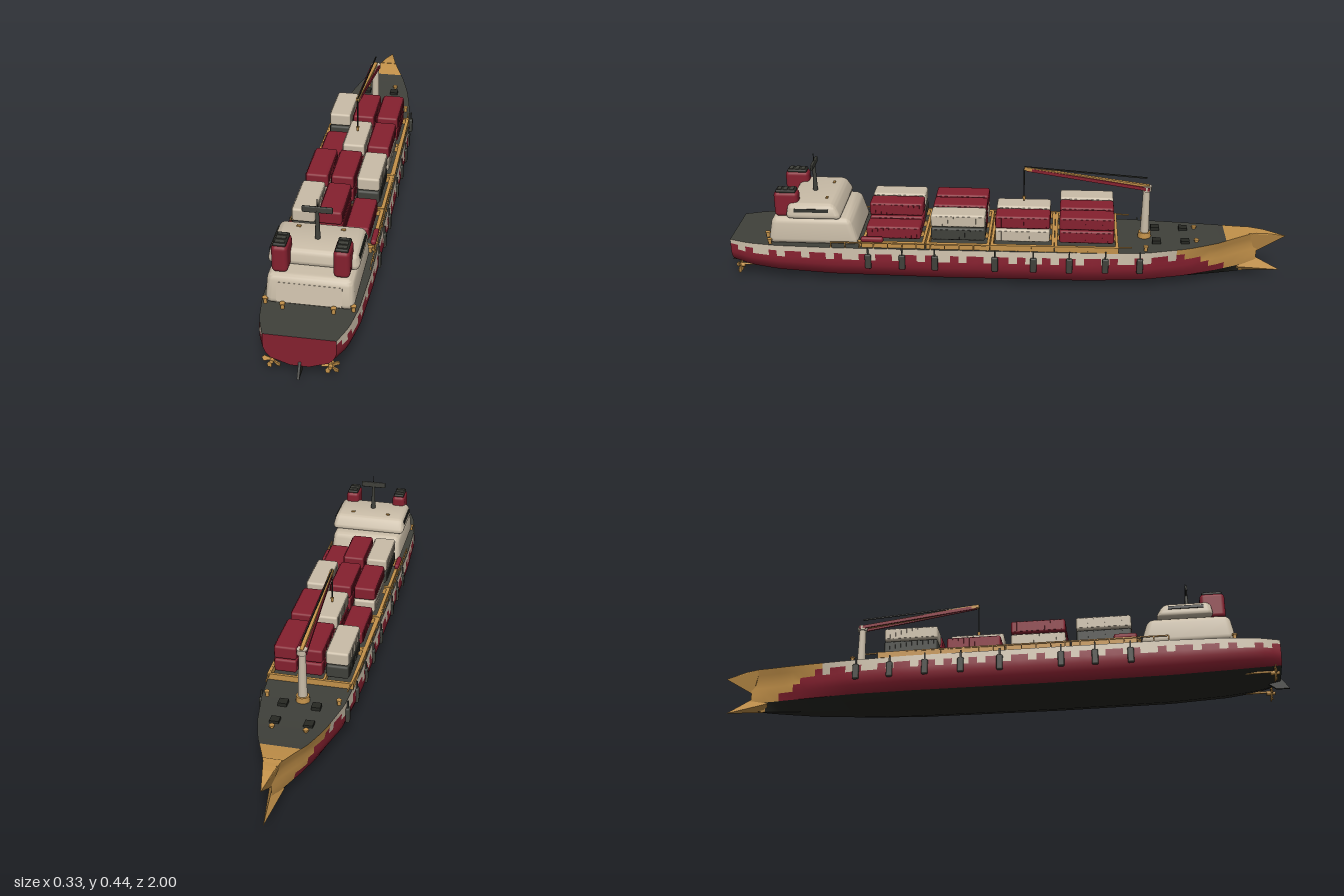
import * as THREE from 'three';
import { toCreasedNormals } from 'three/addons/utils/BufferGeometryUtils.js';
import { RoundedBoxGeometry } from 'three/addons/geometries/RoundedBoxGeometry.js';
import { ConvexGeometry } from 'three/addons/geometries/ConvexGeometry.js';

const paint = (name, color) => Object.assign(new THREE.MeshStandardMaterial({ color }), { name });
const red = paint('red', 0x85202f);
const cream = paint('cream', 0xcabda8);
const gold = paint('gold', 0xc4924a);
const dark = paint('dark grey', 0x40413b);
const black = paint('bottom black', 0x272823);

export function createModel() {
  const ship = new THREE.Group();
  ship.name = 'cargoShip';
  const V = (x, y, z) => new THREE.Vector3(x, y, z);

  function add(name, geo, mat, x = 0, y = 0, z = 0, parent = ship) {
    const m = new THREE.Mesh(geo, mat);
    m.name = name;
    m.position.set(x, y, z);
    parent.add(m);
    return m;
  }
  const box = (name, w, h, d, mat, x, y, z, parent) =>
    add(name, new THREE.BoxGeometry(w, h, d), mat, x, y, z, parent);
  const cyl = (name, r0, r1, h, mat, x, y, z, parent) =>
    add(name, new THREE.CylinderGeometry(r0, r1, h, 12), mat, x, y, z, parent);
  // Beam of given width and height between two points
  function beam(name, a, b, w, h, mat) {
    const m = box(name, w, h, a.distanceTo(b), mat, 0, 0, 0);
    m.position.copy(a).lerp(b, 0.5);
    m.lookAt(b);
    return m;
  }

  // Hull stations: z, half deck width, half side width, keel y, deck y
  const stations = [
    [0.97, 0.11, 0.11, 0.045, 0.15], [0.9, 0.135, 0.138, 0.03, 0.15],
    [0.8, 0.15, 0.153, 0.018, 0.15], [0.6, 0.157, 0.16, 0.006, 0.15],
    [0.2, 0.155, 0.16, 0, 0.15], [-0.3, 0.15, 0.155, 0, 0.15],
    [-0.5, 0.138, 0.138, 0.004, 0.15], [-0.65, 0.11, 0.1, 0.01, 0.157],
    [-0.75, 0.08, 0.064, 0.018, 0.166], [-0.82, 0.05, 0.034, 0.024, 0.176],
    [-0.87, 0.03, 0.014, 0.03, 0.183], [-0.9, 0.019, 0.003, 0.034, 0.183]];
  // Section rows: share of the half width, share of the height
  const rows = [[0, 0], [0.25, 0], [0.8, 0.2], [0.94, 0.38], [1, 0.55], [1, 0.7], [1, 0.86], [1, 1]];
  const at = (z) => {
    let i = 0;
    while (i < stations.length - 2 && stations[i + 1][0] > z) i++;
    const a = stations[i], b = stations[i + 1], t = (a[0] - z) / (a[0] - b[0]);
    return a.map((v, k) => v + (b[k] - v) * t);
  };
  const point = (z, r, s) => {
    const [, deckW, sideW, keel, deckY] = at(z), [fx, fy] = rows[r];
    const w = fy > 0.7 ? sideW + (deckW - sideW) * (fy - 0.7) / 0.3 : sideW;
    return V(s * w * fx, keel + (deckY - keel) * fy, z);
  };
  const skins = new Map([red, cream, gold, dark, black].map((m) => [m, []]));
  const quad = (mat, a, b, c, d) => skins.get(mat).push(a, b, c, a, c, d);
  const steps = 64, zs = [];
  for (let i = 0; i <= steps; i++) zs.push(0.97 - 1.87 * i / steps);
  const top = rows.length - 1;
  for (let i = 0; i < steps; i++) {
    const z0 = zs[i], z1 = zs[i + 1];
    for (let r = 0; r < top; r++) {
      const f = (rows[r][1] + rows[r + 1][1]) / 2;
      let mat = r < 2 ? black : r < 5 ? red : cream;
      if (r === 5 && (i * 7) % 11 < 6) mat = red; // stepped paint edge
      if (z1 < -0.6 - 0.28 * (1 - f)) mat = gold;
      quad(mat, point(z0, r, 1), point(z1, r, 1), point(z1, r + 1, 1), point(z0, r + 1, 1));
      quad(mat, point(z0, r, -1), point(z0, r + 1, -1), point(z1, r + 1, -1), point(z1, r, -1));
    }
    quad(z1 < -0.79 ? gold : dark, point(z0, top, -1), point(z0, top, 1), point(z1, top, 1), point(z1, top, -1));
  }
  // Transom
  for (let r = 0; r < top; r++) {
    quad(r < 1 ? black : red, point(0.97, r, -1), point(0.97, r, 1), point(0.97, r + 1, 1), point(0.97, r + 1, -1));
  }
  for (const [mat, pts] of skins) {
    add('hull ' + mat.name, toCreasedNormals(new THREE.BufferGeometry().setFromPoints(pts), 0.4), mat);
  }
  // Pointed bow beak and ram
  add('bowBeak', new ConvexGeometry([V(0.03, 0.184, -0.865), V(-0.03, 0.184, -0.865), V(0.017, 0.181, -0.92),
    V(-0.017, 0.181, -0.92), V(0, 0.1, -0.895), V(0, 0.15, -0.94), V(0, 0.165, -1)]), gold);
  add('bowRam', new ConvexGeometry([V(0.024, 0.05, -0.83), V(-0.024, 0.05, -0.83), V(0, 0.09, -0.88),
    V(0, 0.026, -0.84), V(0, 0.055, -0.93), V(0, 0.03, -0.99)]), gold);

  // Rudder and propellers
  const fin = new THREE.Shape([[0.9, 0.06], [0.97, 0.06], [1, 0.018], [0.955, 0.018]].map(([a, b]) => new THREE.Vector2(-a, b)));
  const rudder = add('rudder', new THREE.ExtrudeGeometry(fin, { depth: 0.008, bevelEnabled: false }), black, -0.004);
  rudder.rotation.y = Math.PI / 2;
  for (const s of [-1, 1]) {
    const prop = new THREE.Group();
    prop.name = 'propeller';
    prop.position.set(s * 0.088, 0.04, 0.945);
    ship.add(prop);
    cyl('propellerHub', 0.006, 0.008, 0.03, gold, 0, 0, 0, prop).rotation.x = Math.PI / 2;
    cyl('propellerShaft', 0.004, 0.004, 0.1, gold, 0, 0.004, -0.05, prop).rotation.x = Math.PI / 2;
    const outline = new THREE.Shape([[-0.003, 0.003], [0.003, 0.003], [0.01, 0.024], [0.003, 0.032], [-0.007, 0.026]].map((p) => new THREE.Vector2(...p)));
    for (let i = 0; i < 5; i++) {
      const blade = add('propellerBlade', new THREE.ExtrudeGeometry(outline, { depth: 0.004, bevelEnabled: false }), gold, 0, 0, 0, prop);
      blade.rotation.set(0, 0.35, i * Math.PI * 0.4 + 0.3, 'ZYX');
    }
  }

  // Side fenders, deck rails and bollards
  for (const s of [-1, 1]) {
    for (const z of [0.47, 0.35, 0.235, 0.025, -0.11, -0.235, -0.36, -0.48]) {
      const x = Math.max(at(z)[2], 0.145);
      add('fender', new RoundedBoxGeometry(0.014, 0.055, 0.022, 2, 0.005), dark, s * x, 0.102, z);
      box('fenderHanger', 0.005, 0.03, 0.005, dark, s * x, 0.14, z);
    }
    for (let z = 0.6; z > -0.44; z -= 0.05) {
      const a = at(z)[1] - 0.004, b = at(z - 0.05)[1] - 0.004;
      box('railPost', 0.004, 0.022, 0.004, gold, s * a, 0.16, z);
      beam('rail', V(s * a, 0.17, z), V(s * b, 0.17, z - 0.05), 0.004, 0.004, gold);
    }
    for (const [x, z] of [[0.078, 0.84], [0.135, 0.82], [0.135, 0.5], [0.055, -0.68], [0.12, -0.5]]) {
      cyl('bollard', 0.006, 0.006, 0.018, gold, s * x, 0.158, z);
      cyl('bollardCap', 0.009, 0.009, 0.005, gold, s * x, 0.167, z);
    }
    for (const z of [-0.64, -0.54]) {
      box('deckHatch', 0.03, 0.012, 0.03, black, s * 0.055, 0.16, z);
    }
    add('lifeboat', new RoundedBoxGeometry(0.018, 0.02, 0.08, 2, 0.008), red, s * 0.143, 0.18, 0.455);
  }

  // Container bays: from -x to +x, tiers listed bottom first
  const R = red, C = cream, D = dark;
  const bays = [
    [-0.293, [[D, C], [R, R], [R, R]]], [-0.07, [[R], [R, C], [C, R]]],
    [0.155, [[C, R], [R, R], [D, C]]], [0.382, [[D, C], [R, R], [R]]]];
  const containerGeo = new RoundedBoxGeometry(0.076, 0.047, 0.19, 2, 0.008);
  for (const [z, columns] of bays) {
    for (const s of [-1, 1]) {
      box('bayFrameSide', 0.012, 0.022, 0.222, gold, s * 0.141, 0.16, z);
      box('bayFrameEnd', 0.29, 0.022, 0.01, gold, 0, 0.16, z + s * 0.106);
      box('bayDivider', 0.008, 0.02, 0.21, gold, s * 0.045, 0.158, z);
    }
    columns.forEach((tiers, c) => tiers.forEach((mat, t) => {
      const box3 = new THREE.Group();
      box3.name = 'container';
      box3.position.set((c - 1) * 0.088, 0.198 + t * 0.05, z);
      ship.add(box3);
      add('containerBody', containerGeo, mat, 0, 0, 0, box3);
      for (let i = -4; i <= 4; i++) {
        box('containerRib', 0.081, 0.036, 0.009, mat, 0, 0, i * 0.0195, box3);
      }
    }));
  }

  // Superstructure blocks, narrowing by height
  function block(name, w, h, d, r, mat, y, z, rule) {
    const g = new RoundedBoxGeometry(w, h, d, 3, r), p = g.attributes.position;
    for (let i = 0; i < p.count; i++) {
      const t = p.getY(i) / h + 0.5, [sx, front, back] = rule(t), pz = p.getZ(i);
      p.setXYZ(i, p.getX(i) * sx, p.getY(i), pz + (pz < 0 ? front : -back));
    }
    g.computeVertexNormals();
    return add(name, toCreasedNormals(g, 0.6), mat, 0, y, z);
  }
  block('deckhouse', 0.276, 0.1, 0.325, 0.022, cream, 0.199, 0.665, (t) => [1 - 0.05 * t, 0.03 * t, 0.018 * t]);
  block('bridge', 0.288, 0.055, 0.2, 0.018, cream, 0.275, 0.658, (t) => [1 - 0.08 * t, 0.03 * t, 0.01 * t]);
  box('deckhouseRearPanel', 0.2, 0.065, 0.008, cream, 0, 0.192, 0.817).rotation.x = -0.18;
  for (const s of [-1, 1]) {
    box('bridgeSideWindow', 0.006, 0.012, 0.12, black, s * 0.137, 0.281, 0.665).rotation.z = s * 0.2;
    // Funnels
    add('funnel', new RoundedBoxGeometry(0.05, 0.092, 0.085, 3, 0.014), red, s * 0.094, 0.293, 0.757);
    add('funnelCap', new RoundedBoxGeometry(0.04, 0.012, 0.07, 2, 0.005), black, s * 0.094, 0.34, 0.757);
    for (const z of [0.735, 0.757, 0.779]) box('funnelVent', 0.03, 0.004, 0.012, dark, s * 0.094, 0.346, z);
    box('roofLamp', 0.014, 0.006, 0.008, gold, s * 0.07, 0.303, 0.62);
  }

  // Radar mast
  cyl('radarMast', 0.005, 0.009, 0.1, dark, 0, 0.35, 0.675);
  add('radarBar', new RoundedBoxGeometry(0.095, 0.021, 0.008, 2, 0.003), dark, 0, 0.403, 0.675);
  cyl('antenna', 0.0015, 0.002, 0.04, black, 0, 0.42, 0.675);

  // Deck crane
  cyl('craneBase', 0.022, 0.024, 0.02, gold, 0, 0.16, -0.5);
  cyl('cranePost', 0.012, 0.016, 0.18, cream, 0, 0.25, -0.5);
  cyl('craneHead', 0.018, 0.018, 0.018, cream, 0, 0.337, -0.5);
  const tip = V(0, 0.402, -0.07);
  for (const s of [-1, 1]) {
    beam('craneJibSide', V(s * 0.015, 0.337, -0.51), V(s * 0.003, 0.398, -0.08), 0.005, 0.012, red);
  }
  beam('craneJib', V(0, 0.343, -0.51), tip, 0.012, 0.012, gold);
  beam('craneCable', V(0, 0.375, -0.5), V(0, 0.407, -0.07), 0.004, 0.005, black);
  cyl('hoistLine', 0.002, 0.002, 0.11, black, 0, 0.345, -0.07);
  cyl('hoistHook', 0.006, 0.004, 0.016, gold, 0, 0.288, -0.07);
  return ship;
}
